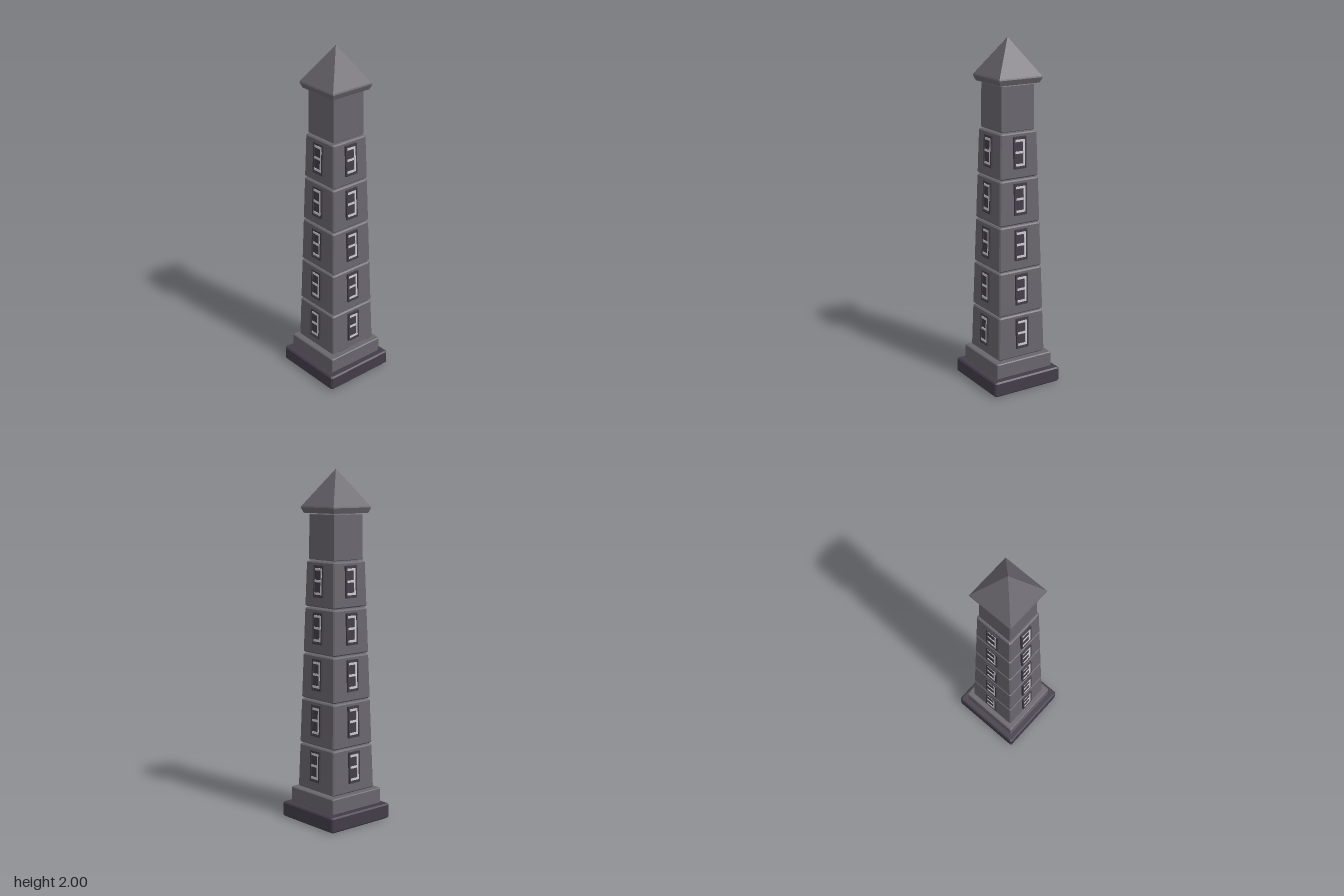
import * as THREE from 'three';

const mat = (name, color) => {
  const m = new THREE.MeshStandardMaterial({ color });
  m.name = name;
  return m;
};

// Square solid lofted through [halfWidth, y, cornerCut] sections, from bottom to top
function squareLoft(sections) {
  const rings = sections.map(([w, y, c]) => {
    const a = w - c;
    return [[a, w], [w, a], [w, -a], [a, -w], [-a, -w], [-w, -a], [-w, a], [-a, w]]
      .map(([x, z]) => [x, y, z]);
  });
  const pos = [];
  const tri = (...p) => p.forEach((v) => pos.push(...v));
  for (let r = 0; r < rings.length - 1; r++) {
    for (let i = 0; i < 8; i++) {
      const j = (i + 1) % 8;
      const [a, b, c, d] = [rings[r][i], rings[r][j], rings[r + 1][j], rings[r + 1][i]];
      tri(a, b, c);
      tri(a, c, d);
    }
  }
  const low = rings[0], high = rings[rings.length - 1];
  for (let i = 1; i < 7; i++) {
    tri(low[0], low[i + 1], low[i]);
    tri(high[0], high[i], high[i + 1]);
  }
  const g = new THREE.BufferGeometry();
  g.setAttribute('position', new THREE.Float32BufferAttribute(pos, 3));
  g.computeVertexNormals();
  return g;
}

// Tapered block with chamfered edges
const block = (y0, y1, w0, w1, b) => squareLoft([
  [w0 - b, y0, b], [w0, y0 + b, b], [w1, y1 - b, b], [w1 - b, y1, b],
]);

export function createModel() {
  const stone = mat('stone', 0x69656d);
  const darkStone = mat('dark stone', 0x423c48);
  const metal = mat('pale bars', 0xcbcacd);
  const tower = new THREE.Group();
  tower.name = 'tower';

  const add = (parent, name, geometry, material, x = 0, y = 0, z = 0) => {
    const m = new THREE.Mesh(geometry, material);
    m.name = name;
    m.position.set(x, y, z);
    parent.add(m);
  };

  // Stepped foot
  add(tower, 'basePlinth', block(0, 0.088, 0.22, 0.22, 0.008), darkStone);
  add(tower, 'upperPlinth', block(0.088, 0.18, 0.184, 0.184, 0.005), stone);

  // Window: dark panel with rim, three rungs and one upright
  const panel = new THREE.BoxGeometry(0.07, 0.17, 0.012);
  const rimSide = new THREE.BoxGeometry(0.009, 0.18, 0.02);
  const rimEnd = new THREE.BoxGeometry(0.08, 0.009, 0.02);
  const rung = new THREE.BoxGeometry(0.058, 0.013, 0.006);
  const upright = new THREE.BoxGeometry(0.011, 0.148, 0.006);
  function makeWindow() {
    const w = new THREE.Group();
    w.name = 'window';
    add(w, 'windowPanel', panel, darkStone);
    for (const s of [-1, 1]) {
      add(w, 'windowRimSide', rimSide, darkStone, s * 0.0355, 0, 0);
      add(w, 'windowRimEnd', rimEnd, darkStone, 0, s * 0.0855, 0);
    }
    for (const y of [-0.068, 0.002, 0.068]) add(w, 'windowRung', rung, metal, -0.001, y, 0.006);
    add(w, 'windowUpright', upright, metal, 0.0245, 0, 0.0065);
    return w;
  }

  // Five tapered storeys, each with a window on every side
  for (let i = 0; i < 5; i++) {
    const y0 = 0.184 + i * 0.263;
    const w0 = 0.155 - i * 0.0075;
    const storey = new THREE.Group();
    storey.name = `storey${i + 1}`;
    add(storey, 'storeyWall', block(y0, y0 + 0.256, w0, w0 - 0.007, 0.007), stone);
    for (let k = 0; k < 4; k++) {
      const side = new THREE.Group();
      side.name = 'windowSide';
      side.rotation.y = k * Math.PI / 2;
      const w = makeWindow();
      w.position.set(0, y0 + 0.146, w0 - 0.003);
      w.rotation.x = -0.027;
      side.add(w);
      storey.add(side);
    }
    tower.add(storey);
  }

  // Plain top storey
  add(tower, 'topStorey', block(1.499, 1.753, 0.108, 0.106, 0.003), stone);

  // Pointed roof with flared eaves
  add(tower, 'roof', squareLoft([
    [0.127, 1.758, 0], [0.139, 1.788, 0], [0.136, 1.796, 0], [0.0005, 2, 0],
  ]), stone);

  return tower;
}
